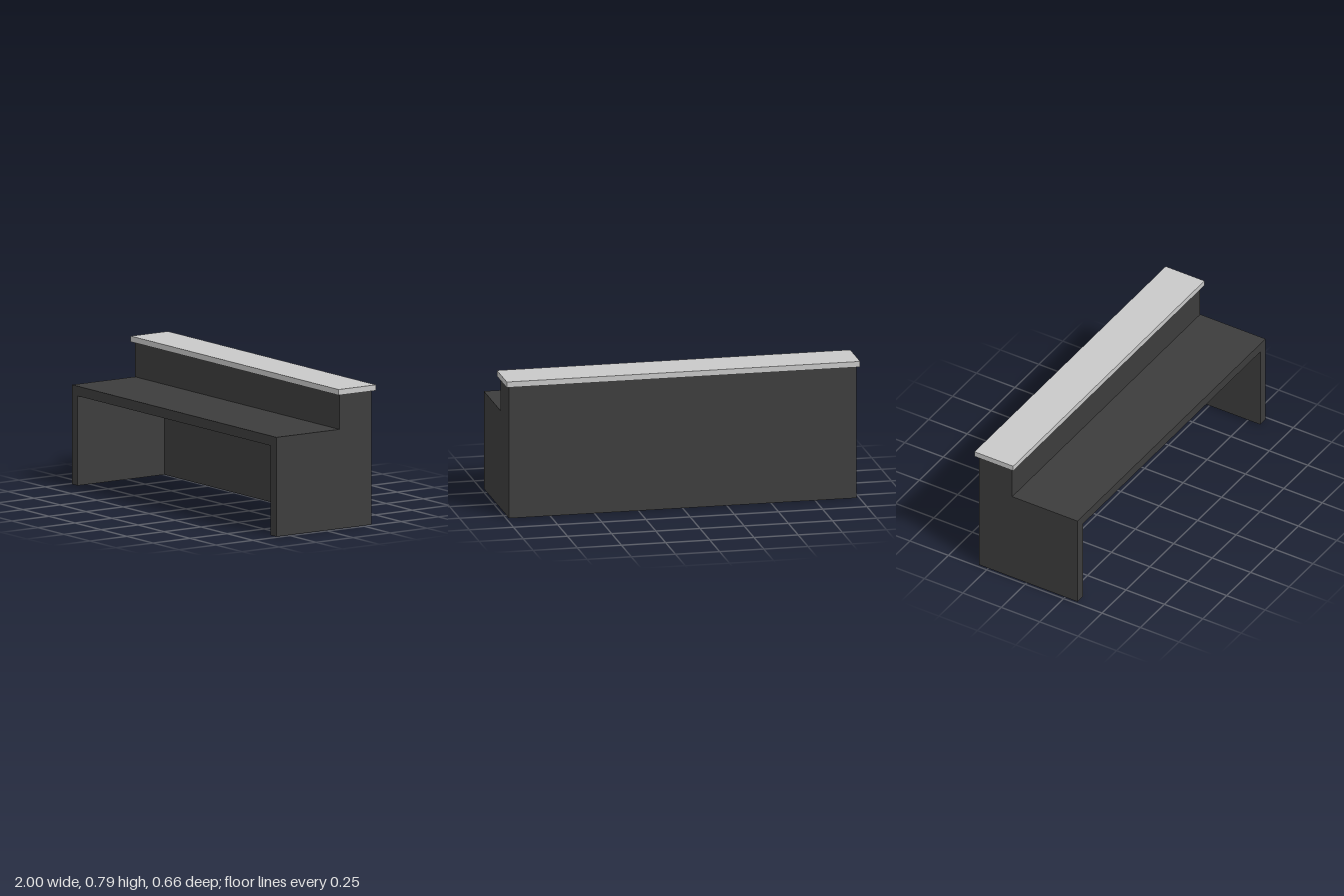
import * as THREE from 'three';

const HALF = 0.983;      // half width of the body
const PANEL = 0.055;     // panel thickness
const FRONT = 0.33, STEP = -0.095, BACK = -0.31;
const DESK = 0.558, TOP = 0.754;

// Extrudes a [z, y] profile along x, centred on x = 0
function extrudeAcross(points, width) {
  const shape = new THREE.Shape(points.map(([z, y]) => new THREE.Vector2(z, y)));
  const geometry = new THREE.ExtrudeGeometry(shape, { depth: width, bevelEnabled: false });
  geometry.translate(0, 0, -width / 2);
  geometry.rotateY(-Math.PI / 2);
  return geometry;
}

export function createModel() {
  const group = new THREE.Group();
  const charcoal = new THREE.MeshStandardMaterial({ color: 0x3c3c3c });
  charcoal.name = 'charcoal';
  const paleGrey = new THREE.MeshStandardMaterial({ color: 0xc8c8c8 });
  paleGrey.name = 'paleGrey';

  const add = (name, geometry, material) => {
    const mesh = new THREE.Mesh(geometry, material);
    mesh.name = name;
    group.add(mesh);
    return mesh;
  };

  // Stepped side panels
  const side = extrudeAcross([
    [FRONT, 0], [FRONT, DESK], [STEP, DESK], [STEP, TOP], [BACK, TOP], [BACK, 0],
  ], PANEL);
  for (const [name, s] of [['leftSidePanel', 1], ['rightSidePanel', -1]]) {
    add(name, side, charcoal).position.x = s * (HALF - PANEL / 2);
  }

  // Desk slab, raised ledge and back panel in one profile, open underneath
  add('deskAndBackPanel', extrudeAcross([
    [FRONT, DESK - PANEL], [FRONT, DESK], [STEP, DESK], [STEP, TOP], [BACK, TOP],
    [BACK, 0], [BACK + PANEL, 0], [BACK + PANEL, DESK - PANEL],
  ], 2 * (HALF - PANEL)), charcoal);

  // Overhanging counter top
  const counter = add('counterTop', new THREE.BoxGeometry(2, 0.032, 0.252), paleGrey);
  counter.position.set(0, TOP + 0.016, -0.204);

  return group;
}
